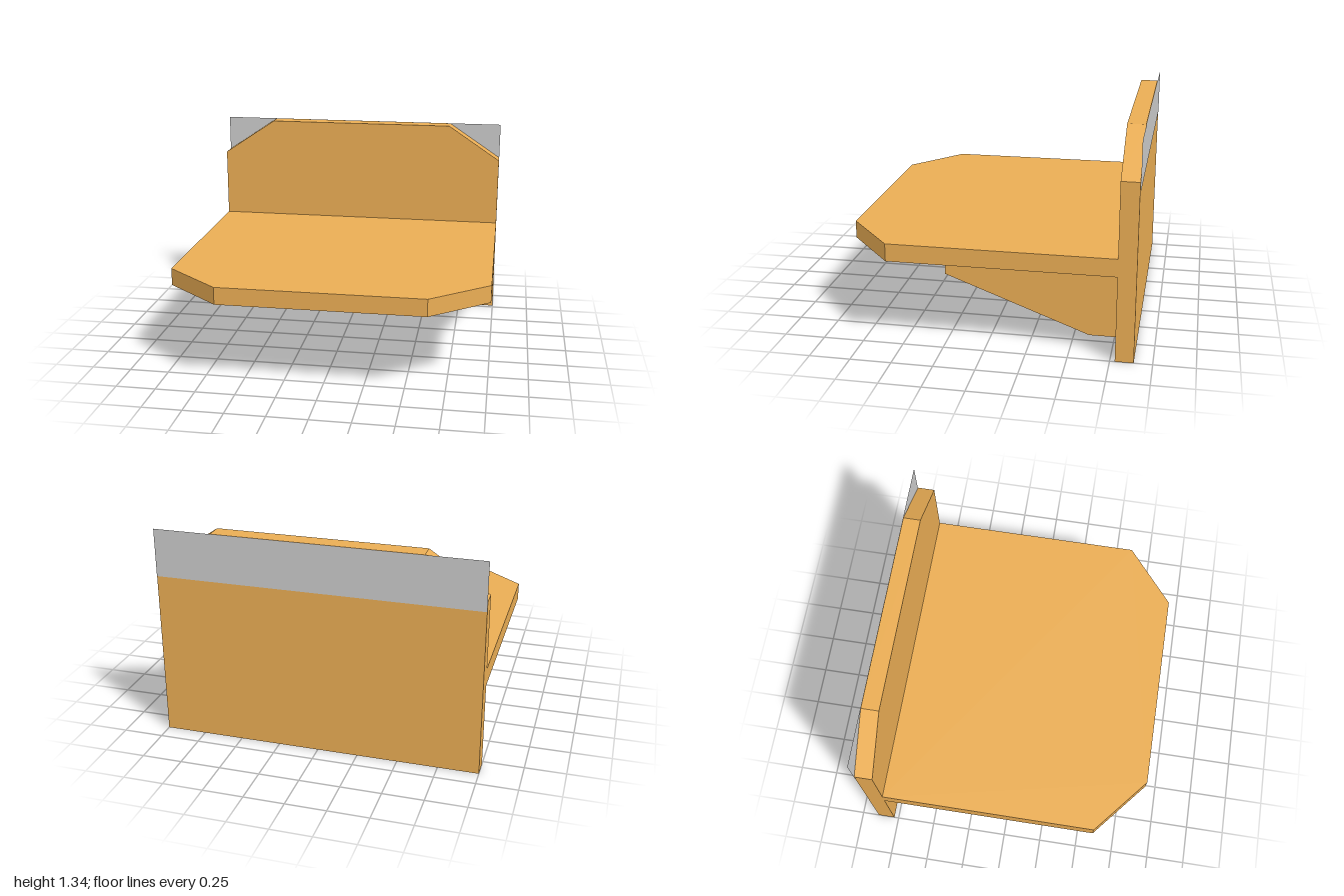
import * as THREE from 'three';

const wood = new THREE.MeshStandardMaterial({ color: 0xeaad54, flatShading: true });
const grey = new THREE.MeshStandardMaterial({ color: 0xcccccc, side: THREE.DoubleSide });
const T = 0.11; // board thickness

// Flat board: an outline extruded by the board thickness
function board(name, points) {
  const shape = new THREE.Shape(points.map(([x, y]) => new THREE.Vector2(x, y)));
  const geometry = new THREE.ExtrudeGeometry(shape, { depth: T, bevelEnabled: false });
  const mesh = new THREE.Mesh(geometry, wood);
  mesh.name = name;
  return mesh;
}

// Rectangle outline with the two far corners cut off
const cutCorners = (near, cut, far) =>
  [[-1, near], [1, near], [1, cut], [0.64, far], [-0.64, far], [-1, cut]];

export function createModel() {
  const group = new THREE.Group();
  group.name = 'wallShelf';

  // Upright back board
  const back = board('backBoard', cutCorners(0, 1.1, 1.34));
  back.position.z = -0.89;
  group.add(back);

  // Horizontal shelf, outline laid flat in x and z
  const shelf = board('shelf', cutCorners(-0.78, 0.59, 0.89));
  shelf.rotation.x = Math.PI / 2;
  shelf.position.y = 0.64;
  group.add(shelf);

  // Tapered brackets under the shelf, outline in z and y
  for (const side of [-1, 1]) {
    const bracket = board(side > 0 ? 'leftBracket' : 'rightBracket',
      [[-0.78, 0.08], [-0.61, 0.08], [0.27, 0.41], [0.27, 0.53], [-0.78, 0.53]]);
    bracket.rotation.y = -Math.PI / 2;
    bracket.position.x = side * 0.785 + T / 2;
    group.add(bracket);
  }

  // Thin sheet across the top of the rear face
  const sheet = new THREE.Mesh(new THREE.PlaneGeometry(2, 0.3), grey);
  sheet.name = 'backSheet';
  sheet.rotation.y = Math.PI;
  sheet.position.set(0, 1.19, -0.892);
  group.add(sheet);

  return group;
}
